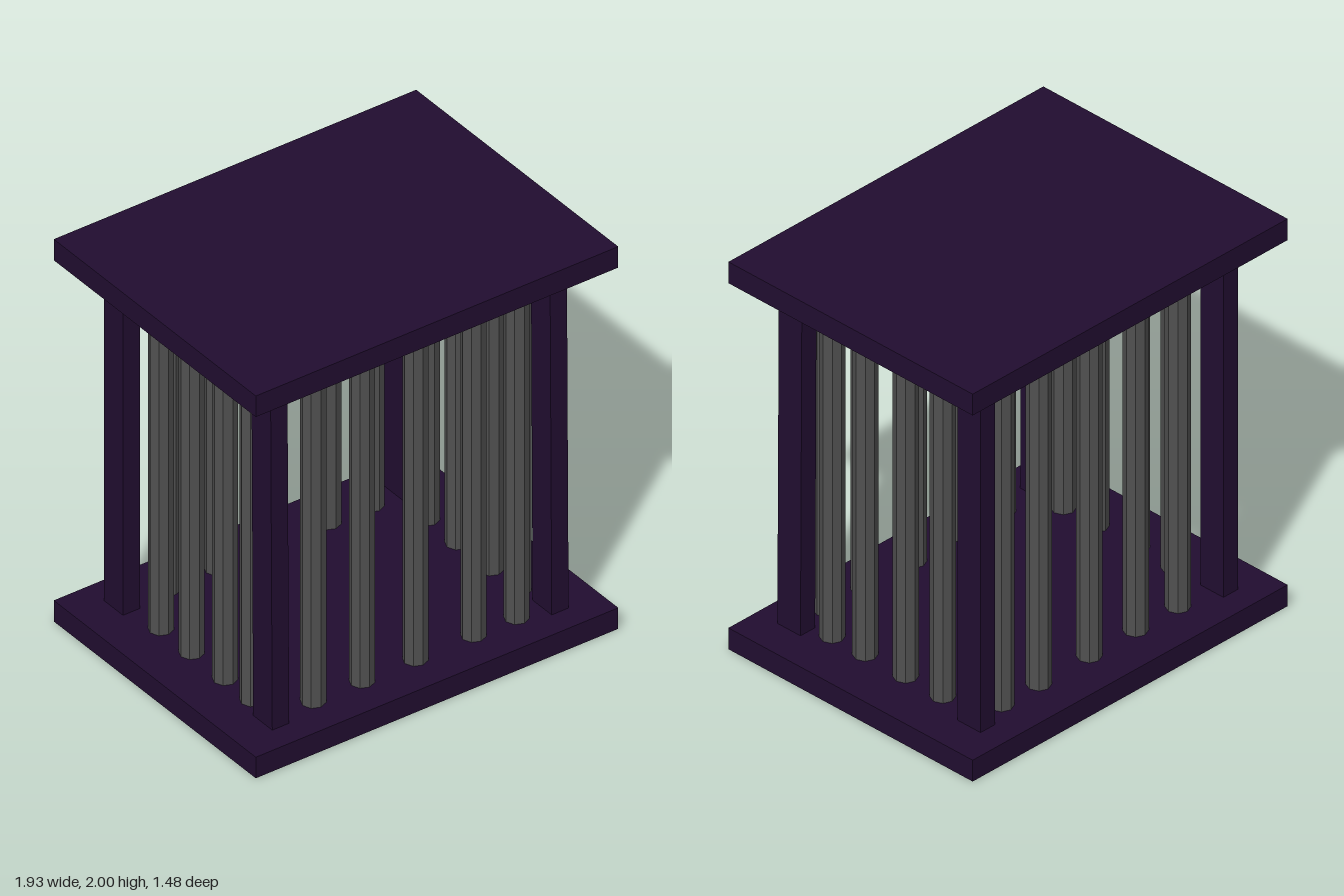
import * as THREE from 'three';

export function createModel() {
  const model = new THREE.Group();
  model.name = 'cage';
  const frameMat = new THREE.MeshStandardMaterial({ color: 0x210d30 });
  const barMat = new THREE.MeshStandardMaterial({ color: 0x505050, flatShading: true });

  const add = (name, geometry, material, x, y, z) => {
    const mesh = new THREE.Mesh(geometry, material);
    mesh.name = name;
    mesh.position.set(x, y, z);
    model.add(mesh);
    return mesh;
  };

  // Floor and roof slabs
  const slab = new THREE.BoxGeometry(1.935, 0.11, 1.48);
  add('floor', slab, frameMat, 0, 0.055, 0);
  add('roof', slab, frameMat, 0, 1.945, 0);

  // Corner posts, the front pair leaning very slightly
  const post = new THREE.BoxGeometry(0.09, 1.8, 0.14);
  for (const x of [-0.748, 0.744]) {
    for (const z of [-0.542, 0.545]) {
      const mesh = add('cornerPost', post, frameMat, x, 1, z);
      if (z > 0) mesh.rotation.z = 0.005;
    }
  }

  // Octagonal bars along all four sides
  const bar = new THREE.CylinderGeometry(0.057, 0.057, 1.8, 8);
  for (const x of [-0.515, -0.255, 0.03, 0.34, 0.57]) {
    add('frontBar', bar, barMat, x, 1, 0.54);
    add('backBar', bar, barMat, x, 1, -0.522);
  }
  for (const z of [0.375, 0.175, -0.07, -0.295]) {
    add('leftBar', bar, barMat, 0.7, 1, z);
    add('rightBar', bar, barMat, -0.72, 1, z);
  }

  return model;
}
